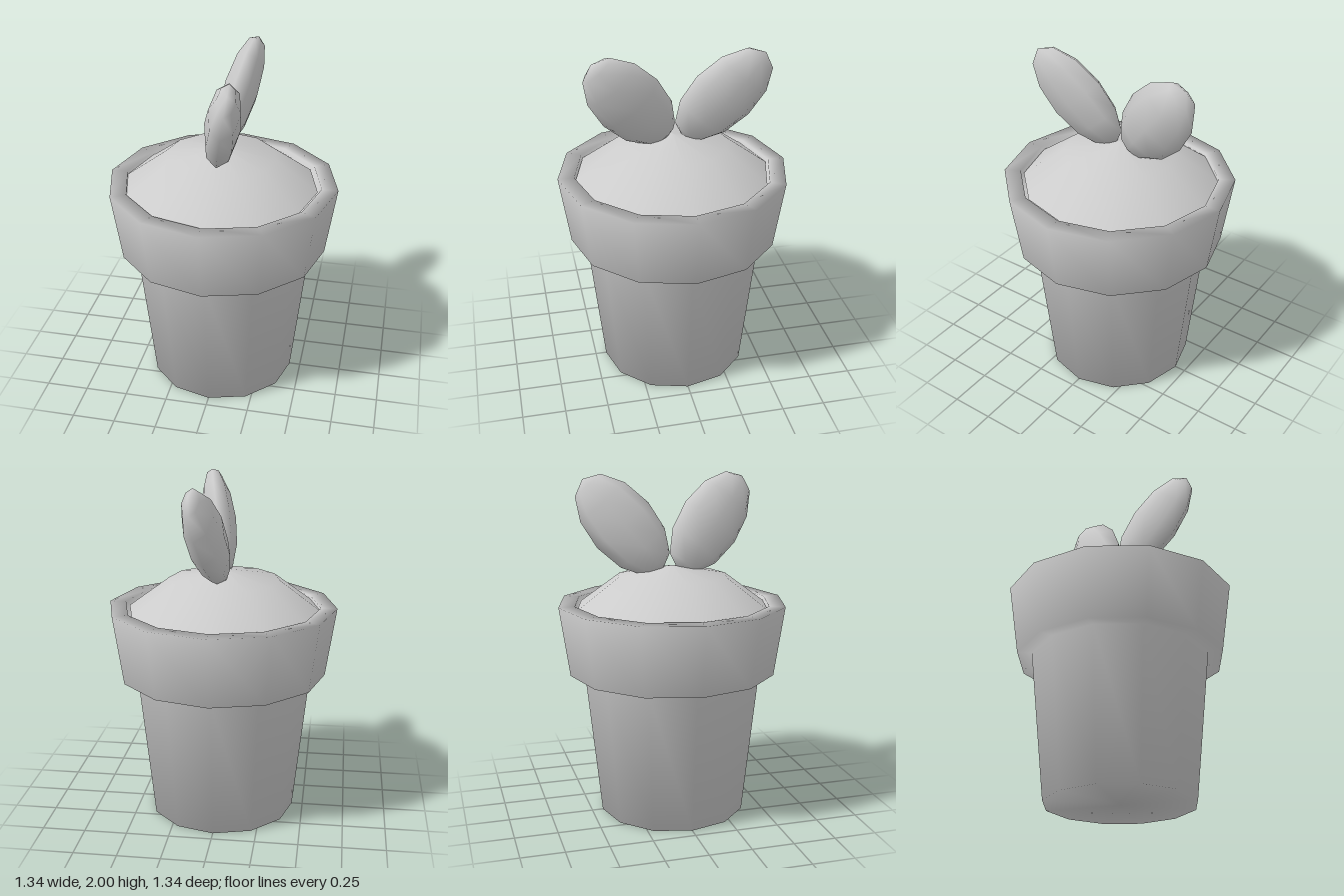
import * as THREE from 'three';

const material = new THREE.MeshStandardMaterial({ color: 0xcccccc });

// Smooth twelve-sided turned part from [radius, height] pairs, bottom to top
function turned(name, profile) {
  const points = profile.map(([r, y]) => new THREE.Vector2(r, y));
  const mesh = new THREE.Mesh(new THREE.LatheGeometry(points, 12), material);
  mesh.name = name;
  return mesh;
}

// Flattened ellipsoid pad leaning outward along z and slightly to +x
function pad(name, z, side) {
  const geometry = new THREE.SphereGeometry(1, 8, 6);
  geometry.scale(0.1, 0.345, 0.197);
  const mesh = new THREE.Mesh(geometry, material);
  const up = new THREE.Vector3(0.19, 0.755, 0.628 * side).normalize();
  const wide = new THREE.Vector3(1, 0, 0).cross(up).normalize();
  const thin = new THREE.Vector3().crossVectors(up, wide);
  mesh.quaternion.setFromRotationMatrix(new THREE.Matrix4().makeBasis(thin, up, wide));
  mesh.position.set(0.05, 1.715, z);
  mesh.name = name;
  return mesh;
}

export function createModel() {
  const model = new THREE.Group();
  model.name = 'pottedPlant';

  // Tapered pot with overhanging rim and hollow top
  model.add(turned('pot', [
    [0, 0], [0.435, 0], [0.525, 0.86], [0.61, 0.857],
    [0.67, 1.265], [0.575, 1.265], [0.565, 1.12], [0, 1.12],
  ]));

  // Domed soil, slightly off centre in the pot
  const soil = turned('soil', [[0.565, 1.243], [0.322, 1.423], [0, 1.482]]);
  soil.position.x = -0.012;
  model.add(soil);

  // Two pads spreading to front and back
  model.add(pad('frontPad', 0.25, 1), pad('backPad', -0.277, -1));

  return model;
}
